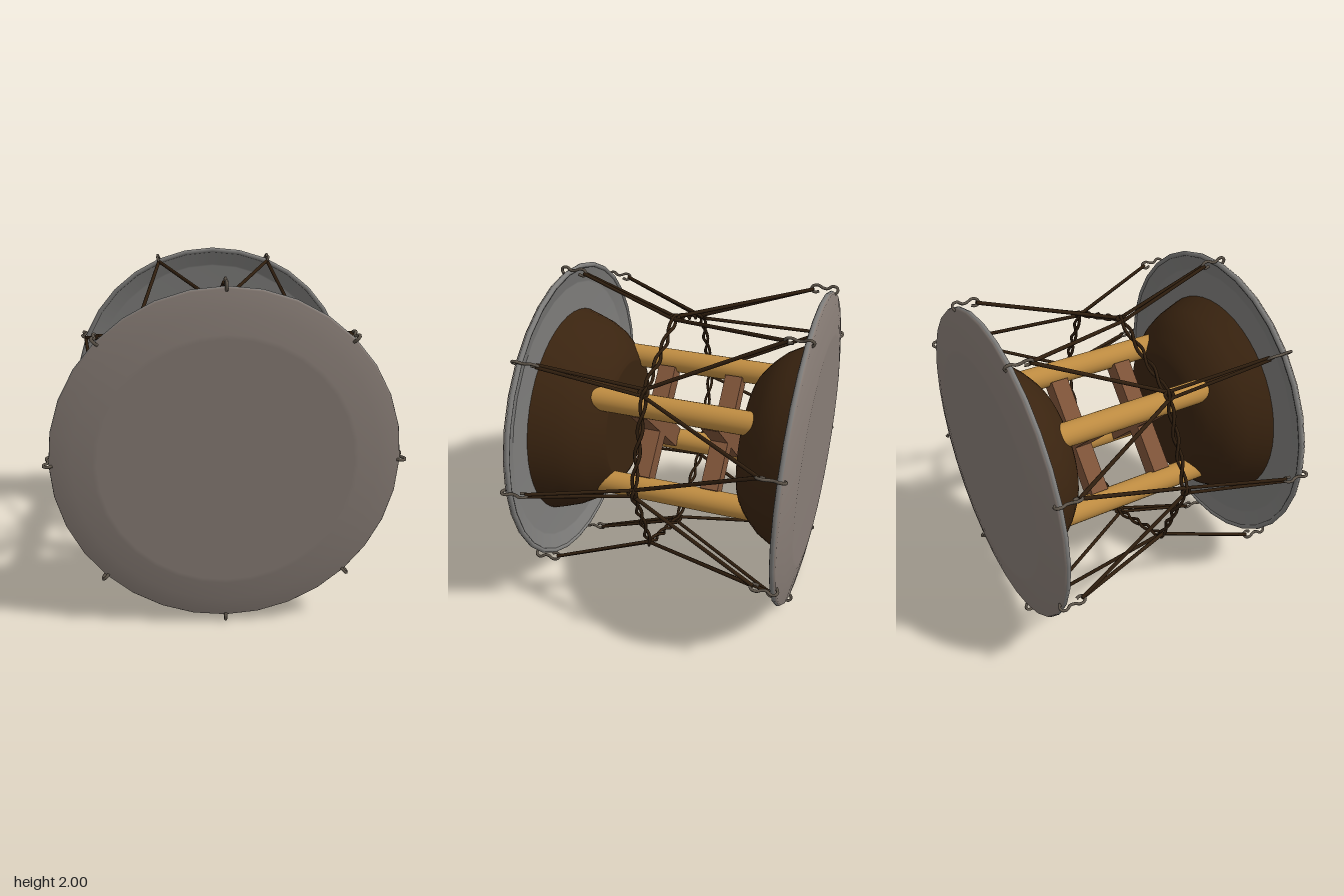
import * as THREE from 'three';

const material = (name, color) => {
  const m = new THREE.MeshStandardMaterial({ color });
  m.name = name;
  return m;
};

export function createModel() {
  const skin = material('drum skin', 0x877c75);
  const rimGray = material('rim gray', 0x7e7d7b);
  const darkWood = material('dark wood', 0x3a2410);
  const lightWood = material('light wood', 0xc08d42);
  const midWood = material('mid wood', 0x7f5439);
  const rope = material('rope', 0x2f1e0e);
  const metal = material('hook metal', 0x5f564b);

  const model = new THREE.Group();
  model.name = 'hourglassDrum';
  const drum = new THREE.Group(); // the drum's axis runs along z
  drum.name = 'drum';
  drum.position.y = 1.0;
  model.add(drum);

  const add = (parent, name, geometry, mat) => {
    const mesh = new THREE.Mesh(geometry, mat);
    mesh.name = name;
    parent.add(mesh);
    return mesh;
  };
  const lathe = (points, segments) =>
    new THREE.LatheGeometry(points.map(([r, z]) => new THREE.Vector2(r, z)), segments).rotateX(Math.PI / 2);
  // Point at a radius, an angle from straight up, and a depth; side shifts it along the tangent
  const polar = (r, a, z, side = 0) => new THREE.Vector3(
    r * Math.sin(a) + side * Math.cos(a), r * Math.cos(a) - side * Math.sin(a), z);
  // Straight rope between two points
  const cord = (name, a, b, radius) => {
    const dir = b.clone().sub(a);
    const mesh = add(drum, name, new THREE.CylinderGeometry(radius, radius, dir.length(), 8), rope);
    mesh.position.copy(a).add(b).multiplyScalar(0.5);
    mesh.quaternion.setFromUnitVectors(new THREE.Vector3(0, 1, 0), dir.normalize());
  };

  // S-shaped hook in (radius, depth), clasping the rim
  const hookPath = [[0.945, 0.79], [0.965, 0.803], [0.985, 0.797], [0.991, 0.77], [0.974, 0.742],
    [0.976, 0.715], [0.989, 0.685], [0.982, 0.655], [0.96, 0.646], [0.947, 0.67], [0.955, 0.695]];

  // One head with its bowl and hooks; the back one is turned half round
  const step = Math.PI / 4;
  [0, 1].forEach((isBack) => {
    const end = new THREE.Group();
    end.name = isBack ? 'backEnd' : 'frontEnd';
    end.rotation.y = isBack * Math.PI;
    drum.add(end);
    add(end, 'drumHead', lathe([[0.962, 0.78], [0.955, 0.79], [0.84, 0.812], [0.725, 0.828],
      [0.7, 0.83], [0, 0.83]], 32), skin);
    add(end, 'headUnderside', lathe([[0.6, 0.797], [0.84, 0.79], [0.85, 0.787], [0.955, 0.757]], 32), rimGray);
    add(end, 'rim', new THREE.TorusGeometry(0.95, 0.016, 8, 32).translate(0, 0, 0.768), rimGray);
    add(end, 'bowl', lathe([[0, 0.412], [0.375, 0.412], [0.385, 0.414], [0.42, 0.43], [0.465, 0.462],
      [0.52, 0.51], [0.57, 0.565], [0.615, 0.645], [0.652, 0.75], [0.668, 0.8]], 48), darkWood);
    for (let i = 0; i < 8; i++) {
      const a = (i + isBack * 0.5) * step;
      const curve = new THREE.CatmullRomCurve3(hookPath.map(([r, z]) => polar(r, a, z)));
      add(end, 'hook', new THREE.TubeGeometry(curve, 32, 0.009, 6), metal);
    }
  });

  // Four posts joining the bowls
  for (const x of [-0.305, 0.305]) {
    for (const y of [-0.305, 0.305]) {
      add(drum, 'post', new THREE.CylinderGeometry(0.073, 0.073, 1.06, 24)
        .rotateX(Math.PI / 2).translate(x, y, 0), lightWood);
    }
  }

  // Two crossed braces between the posts
  for (const z of [-0.227, 0.22]) {
    for (const turn of [-1, 1]) {
      add(drum, 'crossBrace', new THREE.BoxGeometry(0.74, 0.13, 0.11)
        .rotateZ(turn * Math.PI / 4).translate(0, 0, z), midWood);
    }
  }

  // Lacing: paired cords to the front hooks, a fan of two to the back hooks
  const waist = 0.09;
  for (let i = 0; i < 8; i++) {
    const a = i * step;
    for (const s of [-1, 1]) {
      cord('frontCord', polar(0.966, a, 0.66, s * 0.007), polar(0.755, a, waist, s * 0.02), 0.0105);
      cord('backCord', polar(0.755, a, waist, s * 0.02), polar(0.962, a + s * step / 2, -0.66), 0.0115);
    }
    // Small knot where the cords meet
    const knot = add(drum, 'knot', new THREE.TorusGeometry(0.025, 0.011, 6, 12), rope);
    knot.position.copy(polar(0.76, a, waist));
    knot.rotation.set(Math.PI / 2, 0, -a, 'ZXY');
  }

  // Two strands twisted round an eight-sided waist ring
  for (const phase of [0, Math.PI]) {
    const points = [];
    for (let i = 0; i < 192; i++) {
      const a = (i / 192) * Math.PI * 2;
      const local = ((i % 24) / 24 - 0.5) * step;
      const flat = 0.762 * Math.cos(step / 2) / Math.cos(local);
      const twist = a * 16 + phase;
      points.push(polar(flat + 0.013 * Math.cos(twist), a, waist - 0.005 + 0.015 * Math.sin(twist)));
    }
    add(drum, 'waistRope', new THREE.TubeGeometry(
      new THREE.CatmullRomCurve3(points, true), 384, 0.01, 6, true), rope);
  }

  return model;
}
